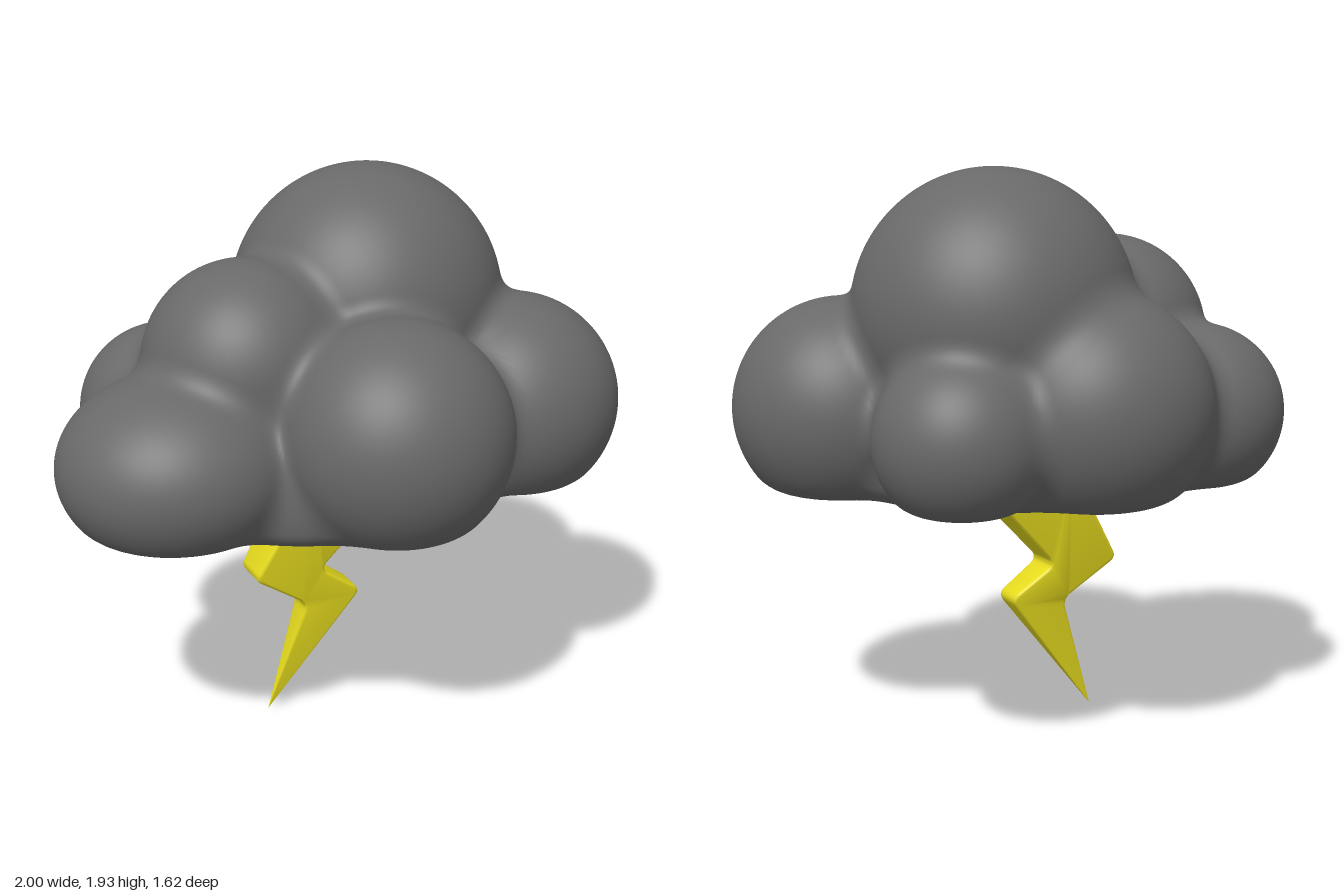
import * as THREE from 'three';
import { toCreasedNormals } from 'three/addons/utils/BufferGeometryUtils.js';

const cloudGrey = new THREE.MeshStandardMaterial({ name: 'storm grey', color: 0x696969 });
const boltYellow = new THREE.MeshStandardMaterial({ name: 'lightning yellow', color: 0xe8dd1e });

// Cloud puffs: centre x, y, z and radii x, y, z
const PUFFS = [
  [0.21, 1.455, -0.147, 0.475, 0.475, 0.47], // crown
  [0.05, 1.16, 0.42, 0.39, 0.39, 0.39],      // front
  [0.625, 1.125, 0.16, 0.375, 0.375, 0.375], // left
  [-0.6, 1.06, 0.13, 0.4, 0.31, 0.39],       // right
  [-0.31, 1.34, 0.02, 0.35, 0.35, 0.35],     // right shoulder
  [-0.02, 1.15, -0.42, 0.395, 0.395, 0.395], // back
  [-0.48, 1.1, -0.31, 0.3, 0.3, 0.3],        // back right
  [0.45, 1.08, -0.41, 0.29, 0.29, 0.29],     // back left
  [0, 0.93, 0, 0.66, 0.36, 0.55],            // core that fills the flat base
];
const FLOOR = 0.832;

function smoothMin(a, b, k) {
  const h = Math.max(k - Math.abs(a - b), 0) / k;
  return Math.min(a, b) - h * h * k / 4;
}

// Signed distance to the blended puffs, cut flat underneath with a rounded rim
function cloudDistance(x, y, z) {
  let d = Infinity;
  for (const [cx, cy, cz, rx, ry, rz] of PUFFS) {
    const px = (x - cx) / rx, py = (y - cy) / ry, pz = (z - cz) / rz;
    const k0 = Math.hypot(px, py, pz);
    const k1 = Math.hypot(px / rx, py / ry, pz / rz) || 1;
    const e = k0 * (k0 - 1) / k1;
    d = d === Infinity ? e : smoothMin(d, e, 0.07);
  }
  return -smoothMin(-d, y - FLOOR, 0.07);
}

// Shrink-wrap a fine sphere onto the cloud surface
function createCloud() {
  const geo = new THREE.IcosahedronGeometry(1, 60);
  const pos = geo.attributes.position, nor = geo.attributes.normal;
  const dir = new THREE.Vector3(), p = new THREE.Vector3(), n = new THREE.Vector3();
  const centre = new THREE.Vector3(0, 1.15, 0);
  const e = 0.002, f = cloudDistance;
  for (let i = 0; i < pos.count; i++) {
    dir.fromBufferAttribute(pos, i).normalize();
    let t = 1.3;
    for (let s = 0; s < 120; s++) {
      p.copy(centre).addScaledVector(dir, t);
      const d = f(p.x, p.y, p.z);
      if (d < 0.0002) break;
      t -= d * 0.85;
    }
    n.set(
      f(p.x + e, p.y, p.z) - f(p.x - e, p.y, p.z),
      f(p.x, p.y + e, p.z) - f(p.x, p.y - e, p.z),
      f(p.x, p.y, p.z + e) - f(p.x, p.y, p.z - e)
    ).normalize();
    pos.setXYZ(i, p.x, p.y, p.z);
    nor.setXYZ(i, n.x, n.y, n.z);
  }
  const mesh = new THREE.Mesh(geo, cloudGrey);
  mesh.name = 'cloud';
  return mesh;
}

// Zigzag bolt with softened bends, its thickness tapering to nothing at the tip
function createBolt() {
  // x, y, and how far each corner is rounded
  const corners = [
    [-0.235, 0, 0], [0.108, 0.437, 0.035], [-0.055, 0.55, 0.035], [0.275, 0.9, 0],
    [-0.105, 0.9, 0], [-0.305, 0.55, 0.03], [-0.1, 0.415, 0.035],
  ];
  const pts = corners.map(([x, y]) => new THREE.Vector2(x, y));
  const shape = new THREE.Shape();
  pts.forEach((c, i) => {
    const r = corners[i][2];
    const towards = (q) => c.clone().add(q.clone().sub(c).setLength(r));
    const a = towards(pts[(i + pts.length - 1) % pts.length]);
    const b = towards(pts[(i + 1) % pts.length]);
    if (i === 0) shape.moveTo(c.x, c.y);
    else shape.lineTo(a.x, a.y);
    if (r > 0) shape.quadraticCurveTo(c.x, c.y, b.x, b.y);
  });
  const geo = new THREE.ExtrudeGeometry(shape, {
    depth: 0.84, curveSegments: 6,
    bevelThickness: 0.08, bevelSize: 0.01, bevelOffset: -0.01, bevelSegments: 3,
  });
  const pos = geo.attributes.position;
  for (let i = 0; i < pos.count; i++) {
    const half = 0.11 * pos.getY(i) / FLOOR;
    pos.setZ(i, (pos.getZ(i) - 0.42) * 2 * half - 0.01);
  }
  const mesh = new THREE.Mesh(toCreasedNormals(geo, 0.7), boltYellow);
  mesh.name = 'lightningBolt';
  return mesh;
}

export function createModel() {
  const model = new THREE.Group();
  model.name = 'stormCloud';
  model.add(createCloud(), createBolt());
  return model;
}
